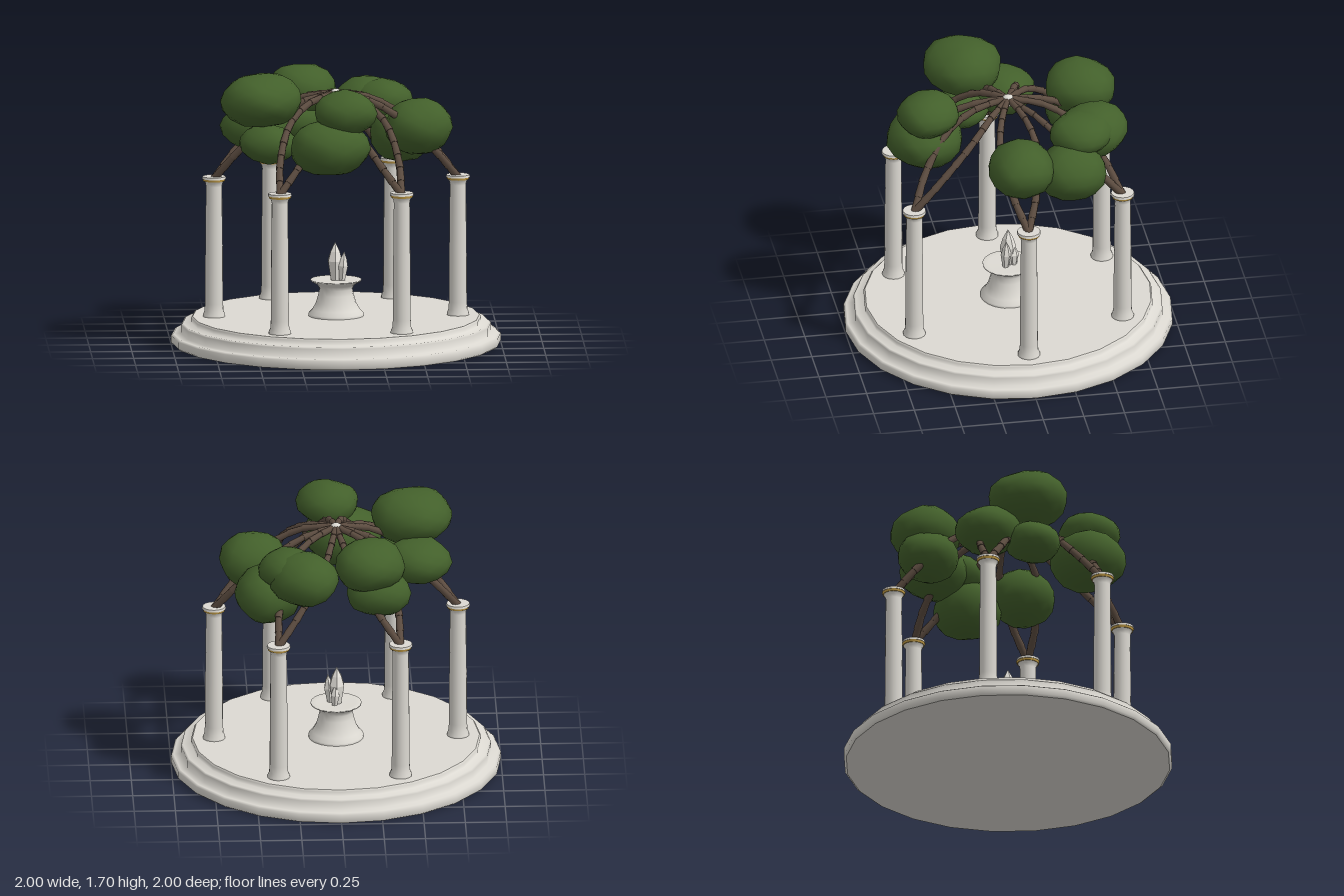
import * as THREE from 'three';
import { mergeVertices } from 'three/addons/utils/BufferGeometryUtils.js';

const mat = (name, color, extra = {}) => {
  const m = new THREE.MeshStandardMaterial({ color, ...extra });
  m.name = name;
  return m;
};

export function createModel() {
  const marble = mat('marble', 0xdcd9d2);
  const flameStone = mat('paleStone', 0xe6e3dc, { flatShading: true });
  const gold = mat('gold', 0xc9a24a);
  const bark = mat('bark', 0x5c4c40);
  const leaf = mat('leaf', 0x43602b);

  const root = new THREE.Group();
  root.name = 'gardenPavilion';

  const add = (parent, name, geometry, material, x = 0, y = 0, z = 0) => {
    const m = new THREE.Mesh(geometry, material);
    m.name = name;
    m.position.set(x, y, z);
    parent.add(m);
    return m;
  };
  const lathe = (pts, sides) =>
    new THREE.LatheGeometry(pts.map(([r, y]) => new THREE.Vector2(r, y)), sides);

  // Stepped round platform: soft-shaded rim, flat top and underside
  add(root, 'platformSteps', lathe([
    [0.985, 0], [1, 0.012], [1, 0.055], [0.985, 0.065], [0.94, 0.068],
    [0.94, 0.12], [0.93, 0.13], [0.88, 0.133], [0.88, 0.16], [0.87, 0.17],
  ], 24), marble);
  add(root, 'platformTop', lathe([[0.87, 0.17], [0, 0.17]], 24), marble);
  add(root, 'platformUnderside', lathe([[0, 0], [0.985, 0]], 24), marble);

  // Central pedestal with a flared dish
  add(root, 'pedestal', lathe([
    [0.168, 0.17], [0.168, 0.185], [0.145, 0.21], [0.122, 0.25], [0.108, 0.3],
    [0.1, 0.335], [0.112, 0.36], [0.155, 0.385], [0.155, 0.393], [0.12, 0.391], [0, 0.388],
  ], 20), marble);

  // Stone flame made of three faceted shards
  const shard = [[0, 0], [0.03, 0], [0.05, 0.5], [0.032, 0.75], [0, 1]];
  for (const [x, z, h, w, tilt] of [
    [-0.005, 0, 0.235, 1, 0], [0.035, 0.02, 0.18, 0.65, -0.08], [0.01, -0.035, 0.13, 0.6, 0.05],
  ]) {
    const s = add(root, 'flameShard', lathe(shard.map(([r, y]) => [r * w, y * h]), 6),
      flameStone, x, 0.388, z);
    s.rotation.z = tilt;
  }

  // One branch: overlapping tapered segments along a bowed arch
  const up = new THREE.Vector3(0, 1, 0);
  const branch = (parent, side) => {
    const g = new THREE.Group();
    g.name = 'branch';
    const curve = new THREE.CatmullRomCurve3([
      [0.735, 1.02, 0], [0.6, 1.19, 0.07], [0.38, 1.4, 0.112], [0.19, 1.505, 0.07], [0.02, 1.535, 0.008],
    ].map(([x, y, z]) => new THREE.Vector3(x, y, z * side)));
    const pts = curve.getSpacedPoints(10);
    for (let i = 0; i < 10; i++) {
      const dir = pts[i + 1].clone().sub(pts[i]);
      const mid = pts[i].clone().add(pts[i + 1]).multiplyScalar(0.5);
      const seg = add(g, 'branchSegment',
        new THREE.CylinderGeometry(0.021 - i * 0.0004, 0.0255 - i * 0.0004, dir.length() * 1.12, 8),
        bark, mid.x, mid.y, mid.z);
      seg.quaternion.setFromUnitVectors(up, dir.normalize());
    }
    parent.add(g);
  };

  // Six columns, each carrying two branches
  const shaft = lathe([
    [0.068, 0.17], [0.068, 0.18], [0.058, 0.205], [0.055, 0.25], [0.053, 0.6],
    [0.049, 0.97], [0.053, 0.99], [0.062, 1.003],
  ], 16);
  const band = new THREE.CylinderGeometry(0.07, 0.066, 0.014, 16);
  const cap = new THREE.CylinderGeometry(0.07, 0.073, 0.014, 16);
  for (let i = 0; i < 6; i++) {
    const bay = new THREE.Group();
    bay.name = 'columnBay';
    bay.rotation.y = i * Math.PI / 3;
    add(bay, 'columnShaft', shaft, marble, 0.74);
    add(bay, 'capitalBand', band, gold, 0.74, 1.01);
    add(bay, 'capitalTop', cap, marble, 0.74, 1.024);
    branch(bay, 1);
    branch(bay, -1);
    root.add(bay);
  }
  add(root, 'crownBall', new THREE.SphereGeometry(0.04, 12, 8), marble, 0, 1.525, 0);

  // Foliage clump: a lumpy smooth-shaded ball
  const clump = (seed) => {
    let g = new THREE.IcosahedronGeometry(1, 2);
    g.deleteAttribute('normal');
    g.deleteAttribute('uv');
    g = mergeVertices(g, 1e-3);
    const p = g.attributes.position;
    const v = new THREE.Vector3();
    for (let i = 0; i < p.count; i++) {
      v.fromBufferAttribute(p, i);
      const n = Math.sin(v.x * 3.1 + seed) * Math.cos(v.z * 3.7 + seed * 2) + Math.sin(v.y * 4 + v.x * 5 + seed * 3) * 0.5;
      v.multiplyScalar(1 + n * 0.05);
      p.setXYZ(i, v.x, v.y, v.z);
    }
    g.computeVertexNormals();
    return g;
  };
  // centre x, y, z then half sizes
  [
    [-0.465, 1.53, 0.2, 0.25, 0.165, 0.24],
    [-0.49, 1.33, -0.04, 0.205, 0.14, 0.2],
    [-0.42, 1.265, 0.22, 0.175, 0.12, 0.17],
    [0.035, 1.5, 0.495, 0.19, 0.135, 0.19],
    [-0.06, 1.285, 0.5, 0.24, 0.175, 0.23],
    [-0.19, 1.48, -0.475, 0.215, 0.16, 0.215],
    [-0.24, 1.3, -0.45, 0.2, 0.15, 0.19],
    [0.21, 1.4, -0.49, 0.21, 0.16, 0.21],
    [0.3, 1.43, -0.4, 0.18, 0.125, 0.19],
    [0.42, 1.24, -0.32, 0.205, 0.18, 0.21],
    [0.5, 1.33, 0.005, 0.215, 0.17, 0.205],
  ].forEach(([x, y, z, sx, sy, sz], i) => {
    add(root, 'foliageClump', clump(i * 1.7 + 0.4), leaf, x, y, z).scale.set(sx, sy, sz);
  });

  return root;
}
